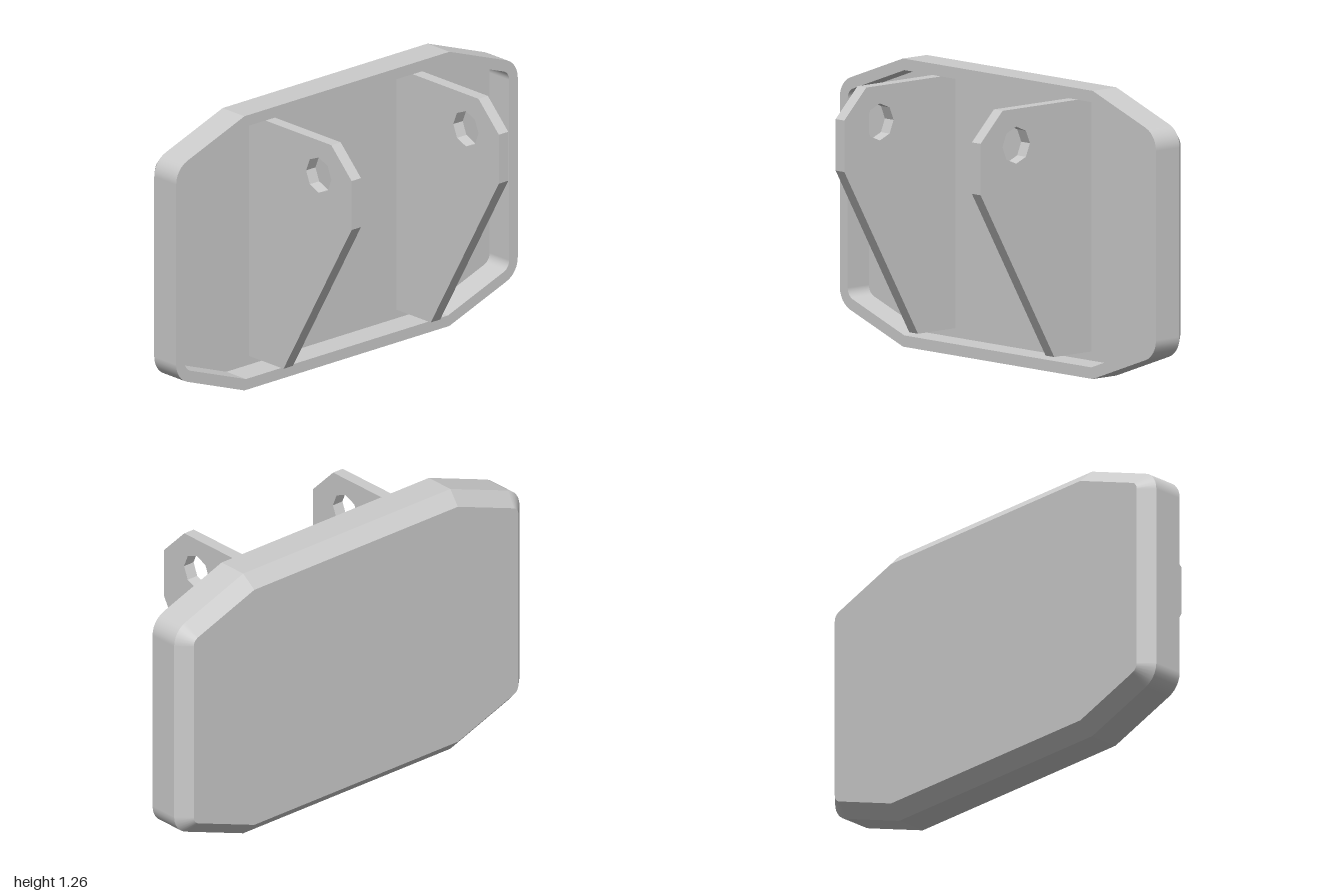
import * as THREE from 'three';

const MID = 0.63; // height of the panel's centre line
const SLOPE = THREE.MathUtils.degToRad(20);

// Eight-sided outline with rounded ends, counter-clockwise, moved inwards by inset.
// Each point carries its outward direction; hard corners are doubled.
function outline(inset) {
  const pts = [];
  const add = (x, y, a) => pts.push({ x, y: y + MID, nx: Math.cos(a), ny: Math.sin(a) });
  const arc = (sx, sy, from, to) => {
    for (let i = 0; i <= 6; i++) {
      const a = from + (to - from) * i / 6, r = 0.1 - inset;
      add(sx * 0.9 + r * Math.cos(a), sy * 0.414 + r * Math.sin(a), a);
    }
  };
  const vx = 0.6 - inset * Math.tan(SLOPE / 2), vy = 0.63 - inset;
  const up = Math.PI / 2, tilt = up - SLOPE;
  const corner = (sx, sy, a, b) => { add(sx * vx, sy * vy, a); add(sx * vx, sy * vy, b); };

  arc(1, 1, 0, tilt);
  corner(1, 1, tilt, up);
  corner(-1, 1, up, Math.PI - tilt);
  arc(-1, 1, Math.PI - tilt, Math.PI);
  arc(-1, -1, Math.PI, Math.PI + tilt);
  corner(-1, -1, Math.PI + tilt, 3 * up);
  corner(1, -1, 3 * up, -tilt);
  arc(1, -1, -tilt, 0);
  return pts;
}

// Strip between two outlines given as [inset, z]
function band([insetA, zA], [insetB, zB]) {
  const A = outline(insetA), B = outline(insetB);
  const out = insetA - insetB, dz = zB - zA, len = Math.hypot(out, dz);
  const pos = [], nor = [];
  const put = (p, z) => {
    pos.push(p.x, p.y, z);
    nor.push(-dz / len * p.nx, -dz / len * p.ny, out / len);
  };
  for (let i = 0; i < A.length; i++) {
    const j = (i + 1) % A.length;
    if (Math.hypot(A[i].x - A[j].x, A[i].y - A[j].y) < 1e-6) continue;
    put(A[i], zA); put(B[i], zB); put(B[j], zB);
    put(A[i], zA); put(B[j], zB); put(A[j], zA);
  }
  const g = new THREE.BufferGeometry();
  g.setAttribute('position', new THREE.Float32BufferAttribute(pos, 3));
  g.setAttribute('normal', new THREE.Float32BufferAttribute(nor, 3));
  return g;
}

// Flat face filling an outline, looking to the front or the back
function cap(inset, z, back) {
  const pts = outline(inset)
    .filter((p, i, all) => i === 0 || Math.hypot(p.x - all[i - 1].x, p.y - all[i - 1].y) > 1e-6)
    .map(p => new THREE.Vector2(back ? -p.x : p.x, p.y));
  const g = new THREE.ShapeGeometry(new THREE.Shape(pts));
  if (back) g.rotateY(Math.PI);
  return g.translate(0, 0, z);
}

export function createModel() {
  const model = new THREE.Group();
  const mat = new THREE.MeshStandardMaterial({ color: 0xcccccc });
  const mesh = (name, geo, parent) => {
    const m = new THREE.Mesh(geo, mat);
    m.name = name;
    parent.add(m);
    return m;
  };

  // Shallow tray-shaped panel with a chamfered back
  const panel = new THREE.Group();
  panel.name = 'panel';
  model.add(panel);
  const profile = [[0.05, -0.29], [0.05, -0.165], [0, -0.165], [0, -0.305], [0.06, -0.365]];
  ['innerWall', 'rim', 'outerWall', 'backChamfer'].forEach((name, i) =>
    mesh(name, band(profile[i], profile[i + 1]), panel));
  mesh('recessFloor', cap(0.05, -0.29, false), panel);
  mesh('backFace', cap(0.06, -0.365, true), panel);

  // Two mounting brackets with an octagonal pin hole, drawn as (z, y)
  const side = new THREE.Shape([
    [-0.29, 0.09], [-0.07, 0.09], [0.365, 0.845], [0.365, 1.07], [0.235, 1.2], [-0.29, 1.2],
  ].map(([z, y]) => new THREE.Vector2(z, y)));
  const hole = [];
  for (let i = 0; i < 8; i++) {
    const a = -i * Math.PI / 4;
    hole.push(new THREE.Vector2(0.155 + 0.081 * Math.cos(a), 1.041 + 0.081 * Math.sin(a)));
  }
  side.holes.push(new THREE.Path(hole));
  const thick = 0.055;
  const bracket = new THREE.ExtrudeGeometry(side, { depth: thick, bevelEnabled: false });
  bracket.rotateY(-Math.PI / 2).translate(thick / 2, 0, 0);
  mesh('leftBracket', bracket, model).position.x = 0.431;
  mesh('rightBracket', bracket, model).position.x = -0.431;

  return model;
}
